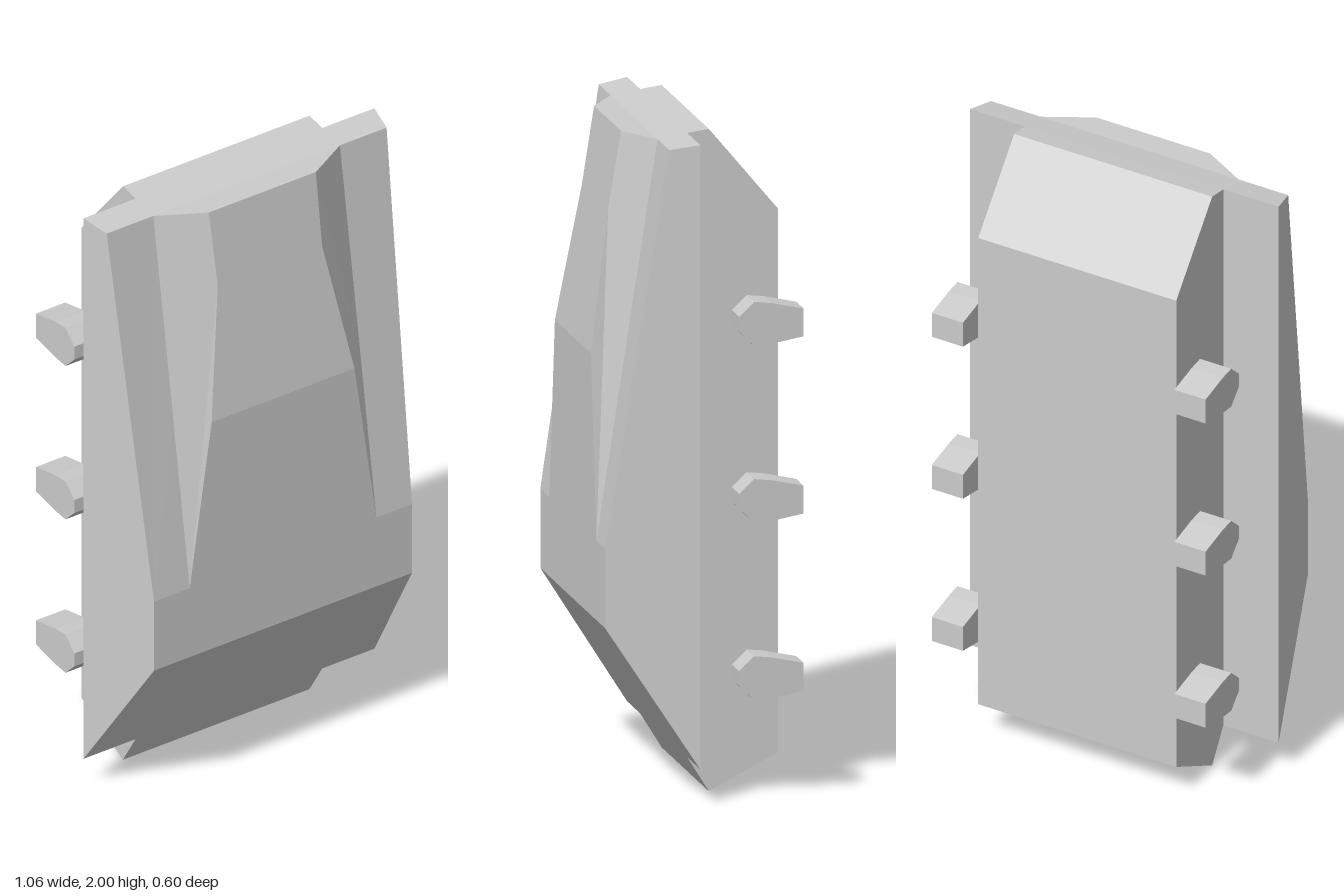
import * as THREE from 'three';

const material = new THREE.MeshStandardMaterial({ color: 0xcccccc, flatShading: true });

// Flat convex panels given for the +x half, fanned into triangles and mirrored.
function mirroredPanels(panels) {
  const pos = [];
  const flip = ([x, y, z]) => [-x, y, z];
  for (const p of panels) {
    for (let i = 1; i < p.length - 1; i++) {
      pos.push(...p[0], ...p[i], ...p[i + 1]);
      pos.push(...flip(p[0]), ...flip(p[i + 1]), ...flip(p[i]));
    }
  }
  const g = new THREE.BufferGeometry();
  g.setAttribute('position', new THREE.Float32BufferAttribute(pos, 3));
  g.computeVertexNormals();
  return g;
}

// Side profile of [z, y] points, extruded across x between x0 and x1.
function sideExtrude(profile, x0, x1) {
  const shape = new THREE.Shape(profile.map(([z, y]) => new THREE.Vector2(-z, y)));
  const g = new THREE.ExtrudeGeometry(shape, { depth: x1 - x0, bevelEnabled: false });
  g.rotateY(Math.PI / 2);
  g.translate(x0, 0, 0);
  return g;
}

function createShell() {
  // Outer rim
  const rimLow = [0.53, 0.105, 0.025], rimTop = [0.53, 1.99, 0.025];
  const chin = [0.47, 0.53, 0.3], brow = [0.47, 0.77, 0.3], corner = [0.51, 1.975, 0.115];
  // Raised centre panel and its bevelled flank
  const tip = [0.34, 0.77, 0.3], knee = [0.26, 1.32, 0.3], shoulder = [0.19, 1.74, 0.233];
  const crest = [0.195, 1.975, 0.195], flankLow = [0.34, 1.32, 0.216], flankTop = [0.34, 1.975, 0.115];
  const mid = (y, z) => [0, y, z];

  return mirroredPanels([
    [mid(0.105, 0.025), rimLow, chin, mid(0.53, 0.3)],                 // lower slope
    [mid(0.53, 0.3), chin, brow, tip, knee, mid(1.32, 0.3)],           // flat front
    [mid(1.32, 0.3), knee, shoulder, crest, mid(1.975, 0.195)],        // upper centre
    [tip, shoulder, knee],                                             // step beside centre
    [tip, flankLow, shoulder],                                         // lower flank
    [flankLow, flankTop, crest, shoulder],                             // upper flank
    [brow, corner, flankTop, flankLow, tip],                           // outer slope
    [rimLow, rimTop, corner, brow, chin],                              // side
    [corner, rimTop, mid(1.99, 0.025), mid(1.975, 0.115)],             // top
    [mid(1.975, 0.195), crest, flankTop, mid(1.975, 0.115)],           // top of centre panel
    [rimLow, mid(0.105, 0.025), mid(1.99, 0.025), rimTop],             // back
  ]);
}

export function createModel() {
  const model = new THREE.Group();
  model.name = 'armouredPack';
  const add = (name, geometry) => {
    const mesh = new THREE.Mesh(geometry, material);
    mesh.name = name;
    model.add(mesh);
    return mesh;
  };

  add('frontShell', createShell());

  // Rear block
  add('rearBlock', sideExtrude([
    [0.025, 0.105], [0.025, 1.99], [-0.04, 2], [-0.25, 1.75], [-0.25, 0.11], [-0.04, 0],
  ], -0.34, 0.34));

  // Three side lugs on each side
  const lug = [
    [-0.105, -0.02], [-0.105, 0.025], [-0.15, 0.068], [-0.2, 0.063],
    [-0.3, 0.042], [-0.3, -0.042], [-0.2, -0.061], [-0.15, -0.065],
  ];
  [0.36, 0.895, 1.43].forEach((y, i) => {
    for (const [side, x0] of [['left', 0.363], ['right', -0.47]]) {
      add(`${side}Lug${i + 1}`, sideExtrude(lug, x0, x0 + 0.107)).position.y = y;
    }
  });

  return model;
}
